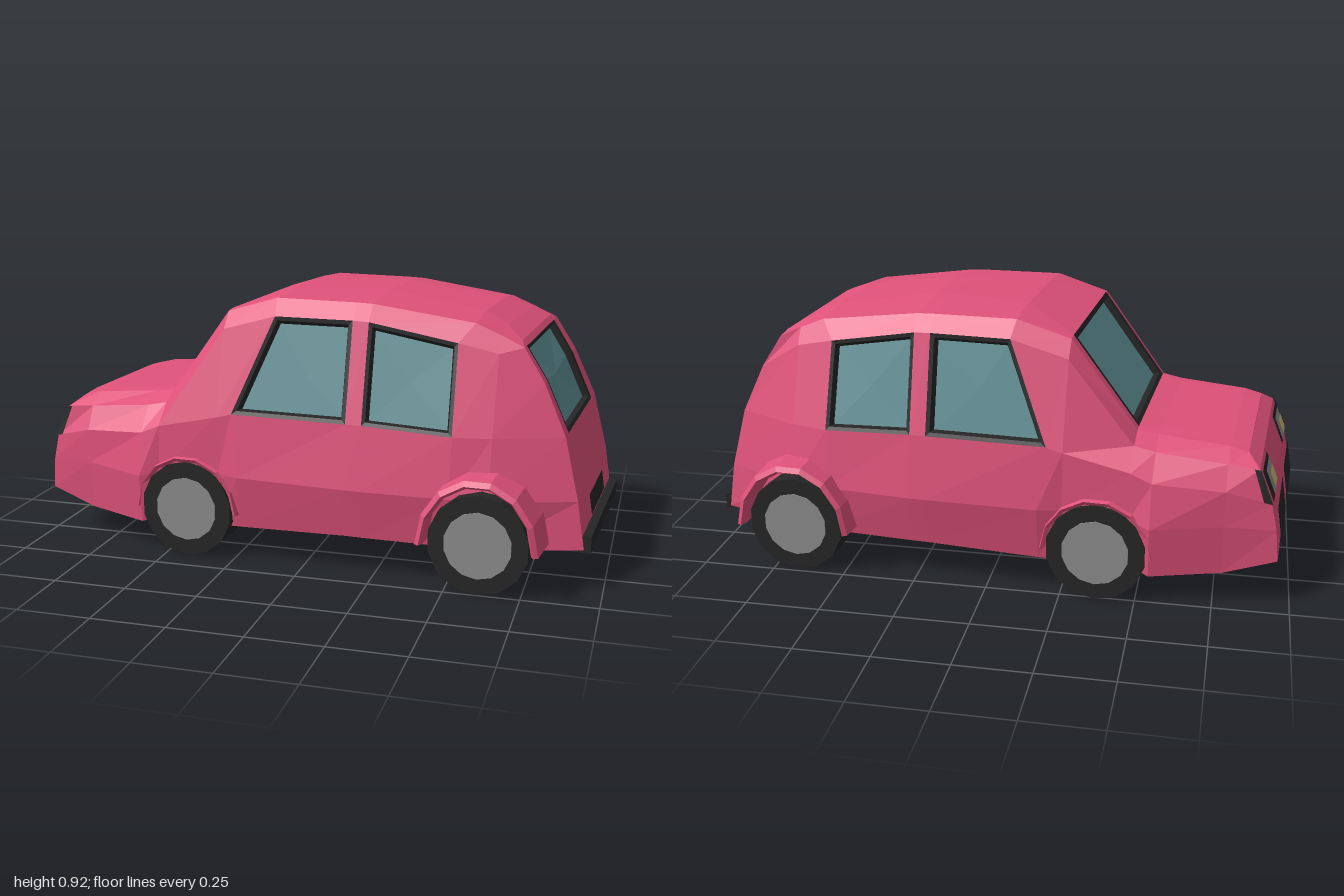
import * as THREE from 'three';

const mat = (color) => new THREE.MeshStandardMaterial({ color, flatShading: true, side: THREE.DoubleSide });
const paint = mat(0xe0527a), dark = mat(0x262626), glass = mat(0x5f8f95);
const hubGrey = mat(0x8c8c8c), lampYellow = mat(0xc8b870);
const { lerp } = THREE.MathUtils;

// Body cross-sections: x, then [height, half width, optional x shift] from sill to roof
const sections = [
  [-0.80, [[0.11, 0.385], [0.28, 0.40], [0.40, 0.40], [0.48, 0.36], [0.52, 0.30], [0.523, 0.22]]],
  [-0.57, [[0.10, 0.45], [0.27, 0.465], [0.42, 0.44], [0.505, 0.375], [0.54, 0.30], [0.545, 0.25]]],
  [-0.50, [[0.12, 0.42], [0.29, 0.445], [0.45, 0.44], [0.52, 0.375], [0.55, 0.31], [0.555, 0.285]]],
  [-0.28, [[0.11, 0.42], [0.30, 0.445], [0.50, 0.445], [0.79, 0.365], [0.845, 0.32], [0.85, 0.29]]],
  [-0.10, [[0.115, 0.43, -0.1], [0.30, 0.465, -0.1], [0.515, 0.445, -0.125], [0.845, 0.372, 0.01], [0.90, 0.325], [0.912, 0.15]]],
  [0.18, [[0.13, 0.44], [0.30, 0.475], [0.515, 0.445], [0.845, 0.367], [0.898, 0.322], [0.915, 0.12]]],
  [0.235, [[0.13, 0.44], [0.30, 0.475], [0.515, 0.445], [0.843, 0.367], [0.896, 0.32], [0.915, 0.12]]],
  [0.535, [[0.13, 0.43], [0.30, 0.46], [0.50, 0.435], [0.79, 0.353, -0.005], [0.85, 0.307, 0.04], [0.867, 0.15, 0.04]]],
  [0.66, [[0.13, 0.42], [0.30, 0.445], [0.50, 0.41], [0.76, 0.337], [0.815, 0.305], [0.83, 0.2]]],
];
// Slanted nose and tail outlines as [x, y, half width]
const nose = [[-0.975, 0.16, 0.36], [-0.965, 0.27, 0.365], [-0.945, 0.36, 0.365], [-0.90, 0.47, 0.355], [-0.86, 0.505, 0.30], [-0.86, 0.512, 0.22]];
const tail = [[0.955, 0.14, 0.345], [0.93, 0.30, 0.345], [0.88, 0.505, 0.33], [0.805, 0.67, 0.315], [0.735, 0.78, 0.307], [0.72, 0.797, 0.272]];
const rings = [nose, ...sections.map(([x, rows]) => rows.map(([y, z, dx = 0]) => [x + dx, y, z])), tail];
const mirror = ([x, y, z]) => [x, y, -z];

function quadMesh(name, material, quads) {
  const pos = [];
  for (const [a, b, c, d] of quads) pos.push(...a, ...b, ...c, ...a, ...c, ...d);
  const g = new THREE.BufferGeometry();
  g.setAttribute('position', new THREE.Float32BufferAttribute(pos, 3));
  g.computeVertexNormals();
  const m = new THREE.Mesh(g, material);
  m.name = name;
  return m;
}

// Window filling an opening: dark reveal sloping inwards to a sunken pane; outline runs anticlockwise from outside
function sunkenWindow(name, outline, depth) {
  const pts = outline.map((p) => new THREE.Vector3(...p)), n = pts.length;
  const centre = pts.reduce((sum, p) => sum.add(p), new THREE.Vector3()).divideScalar(n);
  const inward = new THREE.Vector3();
  pts.forEach((p, i) => inward.add(pts[(i + 1) % n].clone().sub(centre).cross(p.clone().sub(centre))));
  inward.setLength(depth);
  const inset = (t, k) => pts.map((p) => p.clone().lerp(centre, t).addScaledVector(inward, k).toArray());
  const rim = inset(0.08, 0.1), inner = inset(0.13, 1), mid = centre.clone().add(inward).toArray();
  const frame = [], pane = [];
  for (let i = 0; i < n; i++) {
    const j = (i + 1) % n;
    frame.push([outline[i], outline[j], rim[j], rim[i]], [rim[i], rim[j], inner[j], inner[i]]);
    pane.push([inner[i], inner[j], mid, mid]);
  }
  const g = new THREE.Group();
  g.name = name;
  g.add(quadMesh(name + 'Frame', dark, frame), quadMesh(name + 'Pane', glass, pane));
  return g;
}

function body() {
  const g = new THREE.Group();
  g.name = 'body';
  const shell = [], floor = [];
  const sideHoles = { 5: 'frontWindow', 7: 'rearWindow' };
  for (let i = 0; i < rings.length - 1; i++) {
    const a = rings[i], b = rings[i + 1];
    for (let j = 0; j < 5; j++) {
      const right = [a[j], b[j], b[j + 1], a[j + 1]];
      const left = right.map(mirror).reverse();
      if (j === 2 && sideHoles[i]) {
        g.add(sunkenWindow(sideHoles[i] + 'Near', right, 0.025), sunkenWindow(sideHoles[i] + 'Far', left, 0.025));
      } else shell.push(right, left);
    }
    const top = [a[5], b[5], mirror(b[5]), mirror(a[5])];
    if (i === 3) g.add(sunkenWindow('windscreen', top, 0.02));
    else shell.push(top);
    (i < 2 ? shell : floor).push([mirror(a[0]), mirror(b[0]), b[0], a[0]]);
  }
  // Nose closed by strips, tail by strips around the back window opening
  const near = tail.map(([x, y]) => [x, y, 0.272]), far = tail.map(([x, y]) => [x, y, -0.245]);
  for (let j = 0; j < 5; j++) {
    shell.push([nose[j], nose[j + 1], mirror(nose[j + 1]), mirror(nose[j])]);
    shell.push([tail[j], near[j], near[j + 1], tail[j + 1]]);
    shell.push([far[j], mirror(tail[j]), mirror(tail[j + 1]), far[j + 1]]);
    if (j < 2 || j > 3) shell.push([near[j], far[j], far[j + 1], near[j + 1]]);
  }
  g.add(sunkenWindow('backWindow', [near[2], far[2], far[3], far[4], near[4], near[3]], 0.02));
  g.add(quadMesh('shell', paint, shell), quadMesh('floor', dark, floor));
  return g;
}

// Flat panel lying on the nose or tail between two z and two y values, raised by off
function endPanel(name, material, end, z0, z1, y0, y1, off = 0.007) {
  const at = (z, y) => {
    let i = 0;
    while (end[i + 1][1] < y) i++;
    const [a, b] = [end[i], end[i + 1]];
    return [lerp(a[0], b[0], (y - a[1]) / (b[1] - a[1])) + (end === nose ? -off : off), y, z];
  };
  return quadMesh(name, material, [[at(z0, y0), at(z1, y0), at(z1, y1), at(z0, y1)]]);
}

function wheel(name, x, s, outer) {
  const g = new THREE.Group();
  g.name = name;
  const add = (part, r, depth, z, m) => {
    const mesh = new THREE.Mesh(new THREE.CylinderGeometry(r, r, depth, 14).rotateX(Math.PI / 2), m);
    mesh.name = part;
    mesh.position.z = z;
    g.add(mesh);
  };
  add('tyre', 0.167, 0.15, outer - 0.075, dark);
  add('hubcap', 0.112, 0.02, outer - 0.006, hubGrey);
  g.position.set(x, 0.167, 0);
  if (s < 0) g.rotation.y = Math.PI;
  return g;
}
// Flared half-ring over a wheel; profile is [radius, z], tall stretches it upward
function arch(name, x, s, tall, profile) {
  const pts = profile.map(([r, z]) => new THREE.Vector2(r, z));
  const geometry = new THREE.LatheGeometry(pts, 7, Math.PI / 2, Math.PI).rotateX(Math.PI / 2).scale(1, tall, 1);
  const m = new THREE.Mesh(geometry, paint);
  m.name = name;
  m.position.set(x, 0.16, 0);
  if (s < 0) m.rotation.y = Math.PI;
  return m;
}

export function createModel() {
  const car = new THREE.Group();
  car.name = 'car';
  car.add(body());

  for (const s of [1, -1]) {
    const side = s > 0 ? 'Near' : 'Far';
    car.add(wheel('frontWheel' + side, -0.395, s, 0.457));
    car.add(wheel('rearWheel' + side, 0.64, s, 0.49));
    car.add(arch('frontArch' + side, -0.395, s, 1.03, [[0.172, 0.38], [0.172, 0.452], [0.184, 0.46], [0.195, 0.42]]));
    car.add(arch('rearArch' + side, 0.64, s, 1.17, [[0.175, 0.36], [0.175, 0.51], [0.185, 0.53], [0.2, 0.52], [0.208, 0.36]]));

    // Grille, headlamp and its dark corner wrap
    const [in1, out1, in2, out2] = s > 0 ? [0.04, 0.32, 0.17, 0.357] : [-0.32, -0.04, -0.357, -0.17];
    const mid = s * 0.25;
    car.add(endPanel('grille' + side, dark, nose, out1, in1, 0.21, 0.33, 0.012));
    car.add(endPanel('lampSurround' + side, dark, nose, out2, in2, 0.365, 0.465));
    car.add(endPanel('lampRim' + side, hubGrey, nose, mid + 0.065, mid - 0.065, 0.375, 0.455, 0.012));
    car.add(endPanel('lamp' + side, lampYellow, nose, mid + 0.04, mid - 0.04, 0.39, 0.44, 0.018));
    const corner = (u, row) => {
      const [x, y, z] = [0, 1, 2].map((k) => lerp(rings[0][row][k], rings[1][row][k], u));
      return [x - 0.004, y, s * (z + 0.006)];
    };
    const wrap = [corner(0, 2), corner(0.2, 2), corner(0.2, 3), corner(0, 3)];
    car.add(quadMesh('lampCorner' + side, dark, [s > 0 ? wrap : wrap.reverse()]));
  }

  // Rear plate, bumper and exhaust
  car.add(endPanel('rearPlate', dark, tail, 0.155, -0.155, 0.2, 0.268));
  const bumper = new THREE.Mesh(new THREE.BoxGeometry(0.06, 0.055, 0.67), dark);
  bumper.name = 'bumper';
  bumper.position.set(0.947, 0.155, 0);
  const exhaust = new THREE.Mesh(new THREE.CylinderGeometry(0.015, 0.015, 0.2, 8).rotateZ(Math.PI / 2), dark);
  exhaust.name = 'exhaust';
  exhaust.position.set(0.78, 0.113, 0.19);
  car.add(bumper, exhaust);

  // The car stands slightly turned
  car.rotation.y = -0.06;
  car.position.z = -0.03;
  const model = new THREE.Group();
  model.name = 'model';
  model.add(car);
  return model;
}
